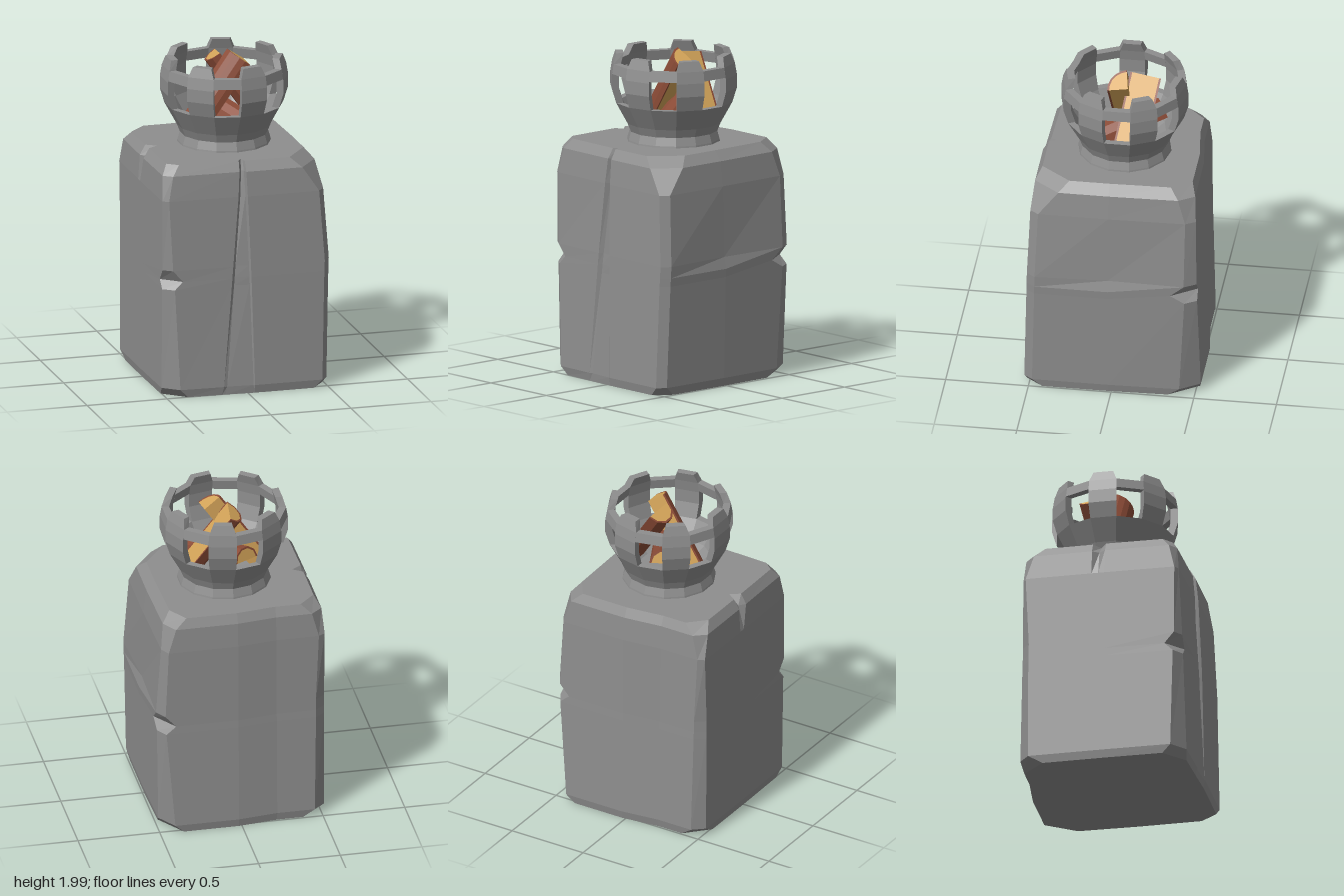
import * as THREE from 'three';
import { mergeGeometries } from 'three/addons/utils/BufferGeometryUtils.js';

const mat = (name, color) => {
  const m = new THREE.MeshStandardMaterial({ color, flatShading: true });
  m.name = name;
  return m;
};

// Skin a stack of rings (counter-clockwise from above), closed with fan caps
function loft(rings) {
  const n = rings[0].length, pos = [], index = [];
  for (const ring of rings) for (const p of ring) pos.push(...p);
  for (let r = 0; r < rings.length - 1; r++) {
    for (let i = 0; i < n; i++) {
      const a = r * n + i, b = r * n + (i + 1) % n;
      index.push(a, b, b + n, a, b + n, a + n);
    }
  }
  [rings[0], rings[rings.length - 1]].forEach((ring, top) => {
    const c = pos.length / 3, start = top ? (rings.length - 1) * n : 0;
    pos.push(...[0, 1, 2].map(k => ring.reduce((s, p) => s + p[k], 0) / n));
    for (let i = 0; i < n; i++) {
      const a = start + i, b = start + (i + 1) % n;
      index.push(c, top ? a : b, top ? b : a);
    }
  });
  const g = new THREE.BufferGeometry();
  g.setAttribute('position', new THREE.Float32BufferAttribute(pos, 3));
  g.setIndex(index);
  const flat = g.toNonIndexed();
  flat.computeVertexNormals();
  return flat;
}

// One level of the rough block: bounds, corner cuts, front crack and left notch
function blockRing({ y, x, z, cut, crack, depth, notch = 0, bulge = 0 }) {
  const [x0, x1] = x, [z0, z1] = z, [fl, fr, br, bl] = cut, [gl, gr] = crack;
  return [
    [x0 + fl, z1 - 0.02], [gl, z1 - 0.01], [gl + 0.02, z1 - 0.01 - depth],
    [gr - 0.008, z1 - depth * 0.8], [gr, z1], [x1 - fr, z1],
    [x1, z1 - fr * 1.3], [x1 - bulge, 0.02], [x1 - 0.01, z0 + br * 1.2],
    [x1 - br * 0.9, z0], [0.02, z0], [-0.22, z0 + 0.03],
    [x0 + bl, z0 + 0.03], [x0, z0 + bl * 1.3], [x0, -0.05],
    [x0 + notch, -0.01], [x0, 0.03], [x0 + 0.005, z1 - fl],
  ].map(([px, pz]) => [px, y, pz]);
}

// Split log: a bark-covered sector swept from its lower to its upper end
function splitLog(name, low, high, barkSide, from, to, radius, bark, wood) {
  const a = new THREE.Vector3(...low), d = new THREE.Vector3(...high).sub(a);
  const length = d.length();
  d.normalize();
  const u = new THREE.Vector3(...barkSide);
  u.addScaledVector(d, -u.dot(d)).normalize();
  const v = d.clone().cross(u);
  const frame = new THREE.Matrix4().makeBasis(u, v, d).setPosition(a);
  const arc = (r, s, e) => Array.from({ length: 6 }, (_, i) => {
    const t = THREE.MathUtils.degToRad(s + (e - s) * i / 5);
    return new THREE.Vector2(r * Math.cos(t), r * Math.sin(t));
  });
  const inner = radius - 0.012;
  const parts = [
    ['Wood', [new THREE.Vector2(), ...arc(inner, from, to)], wood],
    ['Bark', [...arc(radius, from, to), ...arc(inner, to, from)], bark],
  ];
  const group = new THREE.Group();
  group.name = name;
  for (const [part, points, material] of parts) {
    const g = new THREE.ExtrudeGeometry(new THREE.Shape(points), { depth: length, bevelEnabled: false });
    const mesh = new THREE.Mesh(g.applyMatrix4(frame), material);
    mesh.name = name + part;
    group.add(mesh);
  }
  return group;
}

export function createModel() {
  const model = new THREE.Group();
  model.name = 'stoneBrazier';
  const stone = mat('stone', 0x8e8e8e);
  const bark = mat('bark', 0x8c4c37);
  const wood = mat('wood', 0xd6a65a);
  const add = (name, geometry, parent = model) => {
    const m = new THREE.Mesh(geometry, stone);
    m.name = name;
    parent.add(m);
  };

  // Chipped and cracked stone pedestal
  const levels = [
    { y: 0, x: [-0.51, 0.49], z: [-0.52, 0.52], cut: [0.14, 0.08, 0.15, 0.13], crack: [-0.16, 0.045], depth: 0 },
    { y: 0.05, x: [-0.52, 0.5], z: [-0.53, 0.53], cut: [0.1, 0.04, 0.1, 0.07], crack: [-0.15, 0.04], depth: 0.005 },
    { y: 0.67, x: [-0.52, 0.515], z: [-0.515, 0.515], cut: [0.07, 0.04, 0.06, 0.06], crack: [-0.098, 0.024], depth: 0.02 },
    { y: 0.72, x: [-0.52, 0.518], z: [-0.513, 0.514], cut: [0.12, 0.04, 0.13, 0.06], crack: [-0.094, 0.022], depth: 0.02 },
    { y: 0.79, x: [-0.52, 0.52], z: [-0.512, 0.512], cut: [0.06, 0.04, 0.06, 0.06], crack: [-0.088, 0.02], depth: 0.022, bulge: 0.02 },
    { y: 1.22, x: [-0.52, 0.49], z: [-0.505, 0.495], cut: [0.04, 0.04, 0.05, 0.04], crack: [-0.05, 0.005], depth: 0.03 },
    { y: 1.37, x: [-0.51, 0.47], z: [-0.495, 0.48], cut: [0.06, 0.12, 0.08, 0.07], crack: [-0.04, 0], depth: 0.035, notch: 0.03 },
    { y: 1.43, x: [-0.475, 0.42], z: [-0.47, 0.445], cut: [0.07, 0.14, 0.1, 0.1], crack: [-0.035, 0], depth: 0.03, notch: 0.06 },
  ];
  add('pedestal', loft(levels.map(blockRing)));

  // Fire bowl with fourteen sides
  const bowl = new THREE.Group();
  bowl.name = 'fireBowl';
  bowl.position.set(0.005, 0, -0.015);
  model.add(bowl);
  const sides = 14, step = Math.PI * 2 / sides;
  const profile = [
    [0.285, 1.41], [0.28, 1.44], [0.265, 1.49], [0.285, 1.54], [0.357, 1.67],
    [0.315, 1.67], [0.25, 1.56], [0.18, 1.51], [0, 1.5],
  ].map(p => new THREE.Vector2(...p));
  add('bowlBody', new THREE.LatheGeometry(profile, sides), bowl);

  // Upright battlements alternate with short bars above the openings
  const block = (k, rows) => loft(rows.map(([y, r, inset]) => {
    const p = (k + inset) * step, q = (k + 1 - inset) * step, t = r - 0.045;
    return [[r, p], [r, q], [t, q], [t, p]].map(([s, w]) => [s * Math.sin(w), y, s * Math.cos(w)]);
  }));
  const uprightRows = [[1.67, 0.357, 0], [1.76, 0.385, 0], [1.84, 0.385, 0], [1.91, 0.373, 0], [1.97, 0.352, 0.12]];
  const barRows = [[1.85, 0.383, 0], [1.91, 0.373, 0]];
  const uprights = [], bars = [];
  for (let k = 0; k < sides; k += 2) {
    uprights.push(block(k, uprightRows));
    bars.push(block(k + 1, barRows));
  }
  add('battlements', mergeGeometries(uprights), bowl);
  add('rimBars', mergeGeometries(bars), bowl);

  // Firewood stacked in the bowl
  model.add(
    splitLog('lyingLog', [0.14, 1.53, 0.19], [-0.09, 1.65, -0.23], [0, 1, 0], -90, 90, 0.085, bark, wood),
    splitLog('frontLog', [-0.16, 1.5, -0.065], [0.13, 1.925, -0.05], [-0.82, 0.57, 0], 10, 98, 0.125, bark, wood),
    splitLog('backLog', [0.24, 1.6, -0.075], [0, 1.95, -0.14], [-0.8, -0.6, 0], -90, 90, 0.095, bark, wood),
  );
  return model;
}
